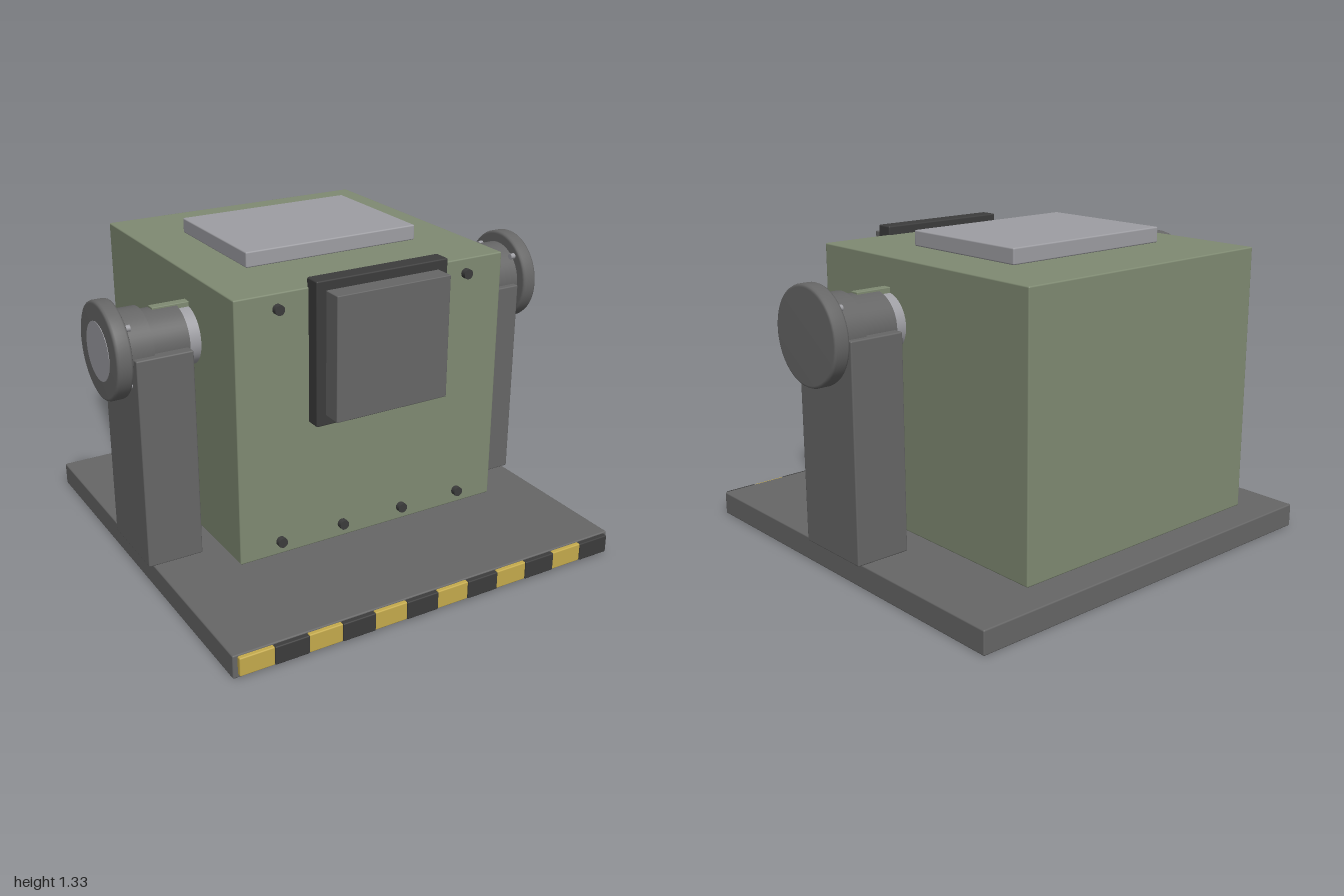
import * as THREE from 'three';
import { RoundedBoxGeometry } from 'three/addons/geometries/RoundedBoxGeometry.js';

const mat = (name, color) => {
  const m = new THREE.MeshStandardMaterial({ color });
  m.name = name;
  return m;
};

export function createModel() {
  const model = new THREE.Group();
  model.name = 'trunnionBox';

  const grey = mat('midGrey', 0x666666);
  const olive = mat('oliveGreen', 0x7f8a72);
  const light = mat('lightGrey', 0x9e9ea3);
  const dark = mat('darkGrey', 0x3c3c3c);
  const yellow = mat('warningYellow', 0xc4aa4c);

  const add = (name, geometry, material, parent = model) => {
    const mesh = new THREE.Mesh(geometry, material);
    mesh.name = name;
    parent.add(mesh);
    return mesh;
  };

  // Softened box given by its limits on each axis
  const box = (name, material, [x0, x1], [y0, y1], [z0, z1], r = 0.006, parent = model) => {
    const mesh = add(name, new RoundedBoxGeometry(x1 - x0, y1 - y0, z1 - z0, 2, r), material, parent);
    mesh.position.set((x0 + x1) / 2, (y0 + y1) / 2, (z0 + z1) / 2);
    return mesh;
  };

  // Cylinder lying along x between two x limits
  const rod = (name, material, x0, x1, r, y, z, parent, segments = 48) => {
    const geometry = new THREE.CylinderGeometry(r, r, x1 - x0, segments).rotateZ(-Math.PI / 2);
    const mesh = add(name, geometry, material, parent);
    mesh.position.set((x0 + x1) / 2, y, z);
    return mesh;
  };

  // Base plate with a striped front edge
  box('basePlate', grey, [-0.893, 0.893], [0, 0.1], [-0.905, 0.882]);
  const stripeWidth = 0.1458;
  for (let i = 0; i < 12; i++) {
    const x = -0.873 + i * stripeWidth;
    box('hazardStripe', i % 2 ? dark : yellow, [x, x + stripeWidth],
      [0.015, 0.094], [0.87, i % 2 ? 0.903 : 0.9], 0.005);
  }

  // Main housing and its lid
  box('housing', olive, [-0.617, 0.617], [0.145, 1.262], [-0.828, 0.407]);
  box('topPlate', light, [-0.4, 0.4], [1.265, 1.33], [-0.51, 0.087]);

  // Front panel in its frame
  box('panelFrame', dark, [-0.3, 0.3], [0.702, 1.3], [0.393, 0.468]);
  box('frontPanel', grey, [-0.258, 0.258], [0.744, 1.26], [0.45, 0.55], 0.004);

  // Front bolts
  const bolts = [[-0.435, 1.2], [0.435, 1.2], [-0.435, 0.205], [-0.145, 0.205], [0.145, 0.205], [0.435, 0.205]];
  for (const [x, y] of bolts) {
    const bolt = add('frontBolt', new THREE.CylinderGeometry(0.021, 0.021, 0.04, 16).rotateX(Math.PI / 2), dark);
    bolt.position.set(x, y, 0.411);
  }

  // Supports, one on each side; cylinders share the pivot axis
  const pivotY = 1, pivotZ = -0.01;
  const discProfile = [[0, -0.034], [0.188, -0.034], [0.197, -0.03], [0.2, -0.022],
    [0.2, 0.022], [0.197, 0.03], [0.188, 0.034], [0, 0.034]].map(([r, y]) => new THREE.Vector2(r, y));
  for (const side of [-1, 1]) {
    const support = new THREE.Group();
    support.name = side > 0 ? 'leftSupport' : 'rightSupport';
    model.add(support);
    const span = (a, b) => (side > 0 ? [a, b] : [-b, -a]);
    const part = (name, material, a, b, r, y = pivotY, z = pivotZ, segments = 48) =>
      rod(name, material, ...span(a, b), r, y, z, support, segments);

    box('post', grey, span(0.675, 0.914), [0.1, 1], [-0.187, 0.169], 0.006, support);
    part('shaft', light, 0.6, 0.7, 0.122);
    part('innerCollar', grey, 0.669, 0.83, 0.135);
    part('outerCollar', grey, 0.825, 0.935, 0.152);

    // End disc with rounded rims
    const disc = add('endDisc', new THREE.LatheGeometry(discProfile, 48).rotateZ(-Math.PI / 2), grey, support);
    disc.position.set(side * 0.964, pivotY, pivotZ);

    // Small bolts behind the disc
    for (let i = 0; i < 4; i++) {
      const a = Math.PI / 4 + i * Math.PI / 2;
      part('discBolt', light, 0.908, 0.935, 0.013,
        pivotY + Math.sin(a) * 0.165, pivotZ + Math.cos(a) * 0.165, 12);
    }

    // Rib carrying the shaft
    box('rib', olive, span(0.605, 0.773), [1.0, 1.142], [-0.034, 0.006], 0.003, support);
  }

  // Visible shaft end on the right disc
  rod('shaftEnd', light, -1, -0.99, 0.12, pivotY, pivotZ, model);

  return model;
}
